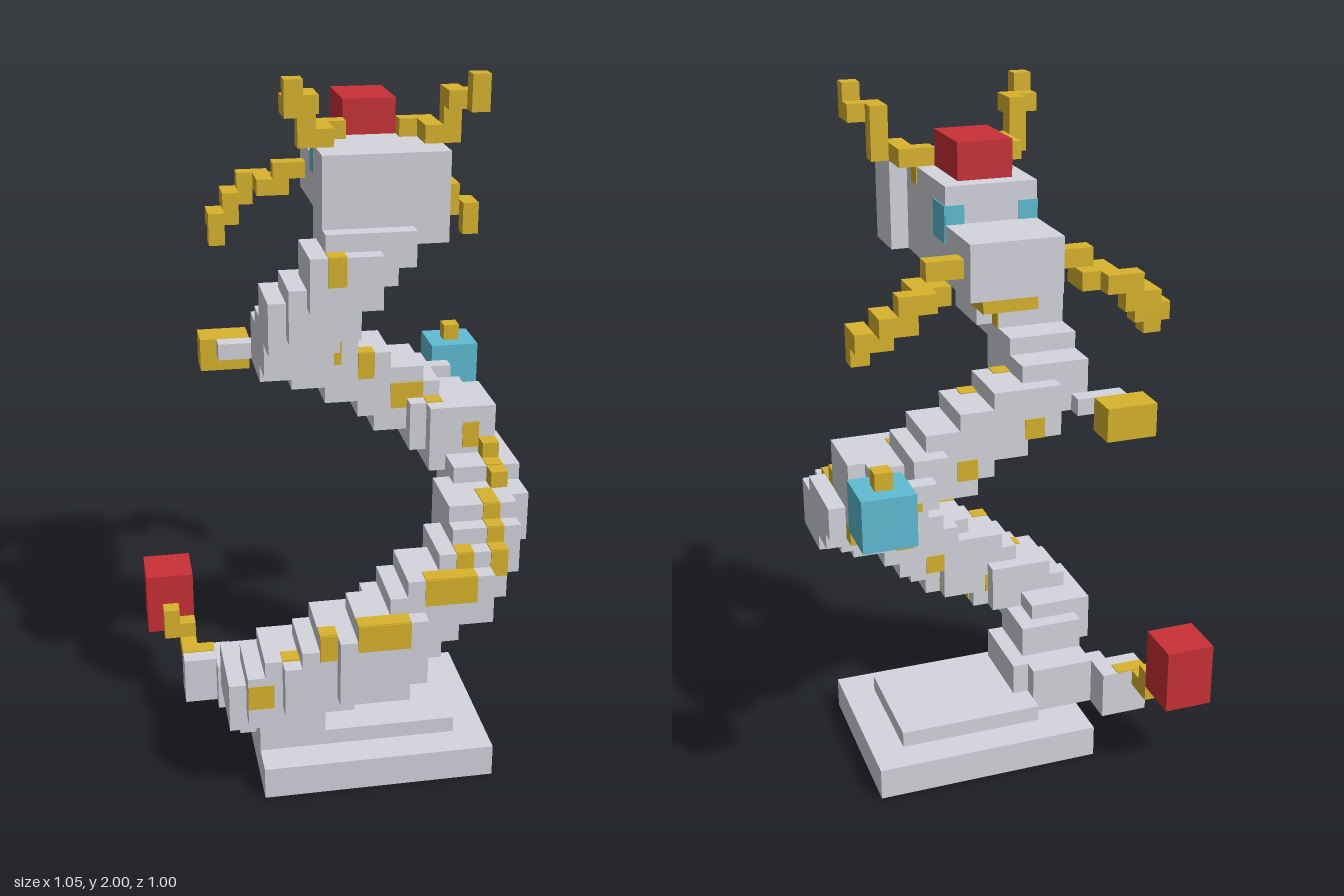
import * as THREE from 'three';

const U = 2 / 42; // one block

export function createModel() {
  const root = new THREE.Group();
  root.name = 'coiledDragonStatue';
  const material = (name, color) => {
    const m = new THREE.MeshStandardMaterial({ color });
    m.name = name;
    return m;
  };
  const grey = material('stoneGrey', 0xd5d6de);
  const gold = material('gold', 0xd9b42c);
  const red = material('red', 0xca3037);
  const blue = material('blue', 0x5fbdd5);

  // Box from block bounds; the z grid is shifted by half a block
  function box(name, mat, x0, x1, y0, y1, z0, z1) {
    const m = new THREE.Mesh(
      new THREE.BoxGeometry((x1 - x0) * U, (y1 - y0) * U, (z1 - z0) * U), mat);
    m.position.set((x0 + x1) / 2 * U, (y0 + y1) / 2 * U, ((z0 + z1) / 2 + 0.5) * U);
    m.name = name;
    root.add(m);
  }
  // Pair of boxes mirrored about the middle of the head (x = 2.5 blocks)
  function pair(name, mat, x0, x1, ...rest) {
    box(name + 'Left', mat, x0, x1, ...rest);
    box(name + 'Right', mat, 5 - x1, 5 - x0, ...rest);
  }

  // Stepped plinth
  box('plinthBase', grey, -5, 9, 0, 2, -4, 7);
  box('plinthStep', grey, -2, 7, 2, 3, -2, 5);

  // Coiling body: lowest corner and height of each overlapping segment
  const body = [
    [-7, 5, 2, 3], [-7, 5, 3, 3], [-6, 6, 4, 3], [-5, 7, 4, 3], [-4, 7, 5, 3],
    [-3, 8, 5, 3], [-2, 8, 5, 4], [-1, 8, 6, 4], [0, 9, 6, 4], [1, 10, 5, 3],
    [2, 11, 5, 3], [3, 12, 5, 3], [4, 12, 5, 3], [5, 13, 4, 3], [6, 14, 3, 3],
    [6, 15, 2, 3], [7, 15, 1, 3], [7, 16, -1, 3], [7, 17, -2, 2], [6, 18, -3, 3],
    [6, 19, -3, 3], [5, 19, -4, 3], [3, 20, -5, 3], [2, 21, -5, 3], [0, 22, -5, 3],
    [-2, 23, -5, 3], [-4, 24, -4, 3], [-4, 25, -2, 3], [-4, 27, 0, 3],
    [-3, 28, 1, 3], [-2, 30, 2, 3], [-1, 31, 1, 3],
  ];
  const t = 0.06; // thickness of painted plates
  body.forEach(([x, y, z], i) => {
    const [, , , h] = body[i];
    box('bodySegment', grey, x, x + 4, y, y + h, z, z + 4);
    // Scales on the inner faces of the coil
    if (i > 3 && i % 2 && i < 28) box('scaleBack', gold, x + 1, x + 2.2, y, y + 1.2, z - t, z);
    // Scales on the left side of the lower coil and the neck
    if (i > 3 && i < 10 && i % 2 === 0) box('scaleSide', gold, x + 4, x + 4 + t, y, y + 1, z + 1, z + 2);
    if (i === 28 || i === 29) box('scaleSide', gold, x + 4, x + 4 + t, y + 1, y + 2, z, z + 1);
  });
  // Scales over the front upper edges: segment, start and end across it
  const scales = [
    [3, 1, 2], [6, 0, 1], [8, 0, 3], [12, 0, 3], [13, 1, 2], [13, 3, 4], [14, 2, 3],
    [15, 2, 3], [16, 1, 2], [17, 2, 3], [19, 2, 3], [21, 1, 2], [22, 1, 3],
    [24, 2, 3], [25, 2, 3], [30, 1, 2],
  ];
  for (const [i, a, b] of scales) {
    const [x, y, z, h] = body[i];
    box('scaleFront', gold, x + a, x + b, y + h - 1.6, y + h, z + 4, z + 4 + t);
    box('scaleTop', gold, x + a, x + b, y + h, y + h + t, z + 3, z + 4);
  }
  // Raised scales on the left bend
  box('scaleFront', gold, -6, -4.5, 7, 8.5, 8, 8 + t);
  box('raisedScale', gold, 9, 10, 18, 19, 3, 4);
  box('raisedScale', gold, 9, 10, 19, 20, 1, 2);
  box('neckTop', grey, 0, 4, 32, 34, 2, 5);

  // Tail root and tail
  box('tailRoot', grey, -5, -1, 2, 5, 0, 5);
  box('tailRise', grey, -6, -2, 5, 7, 1, 5);
  box('tailJoint', grey, -6, -2, 2, 5, -1, 3);
  box('tailBend', grey, -7, -3, 2, 5, -1, 0);
  box('tailEnd', grey, -9, -6, 2, 5, -3, -1);
  box('tailScale', gold, -9, -7, 5, 5 + t, -3, -2);
  box('tailTuft', gold, -9, -8, 4, 5, -4, -3);
  box('tailTuft', gold, -9, -8, 4, 6, -5, -4);
  box('tailTuft', gold, -10, -8, 5, 6, -5, -4);
  box('tailTuft', gold, -10, -9, 5, 7, -5, -4);
  box('tailGem', red, -11, -8, 5, 9, -8, -5);

  // Right claw
  box('rightArm', grey, -6, -3, 24, 25, -5, -4);
  box('rightClaw', gold, -7, -4, 23, 25, -7, -5);

  // Left arm holding a block
  box('leftArm', grey, 5, 7, 21, 23, -6, -4);
  box('leftForearm', grey, 6, 9, 21, 22, -7, -6);
  box('heldBlock', blue, 8, 11, 20, 23, -10, -7);
  box('heldBlockKnob', gold, 9, 10, 23, 24, -9, -8);
  box('leftElbowScale', gold, 9, 10, 17, 18, -3, -2);

  // Head, snout and jaw
  box('headBack', grey, -1, 6, 33, 38, 1, 4);
  box('head', grey, 0, 5, 33, 38, -6, 1);
  box('snout', grey, 0, 5, 33, 36, -10, -6);
  box('jaw', gold, 1, 4, 32, 33, -9, -4);
  box('headGem', red, 1, 4, 38, 40, -5, -1);

  // Eyes wrap around the front corners of the head
  pair('eyeSide', blue, 5, 5 + t, 35, 37, -6, -4);
  pair('eyeFront', blue, 4, 5, 36, 37, -6 - t, -6);

  // Horns
  pair('hornSpot', gold, 5, 5 + t, 37, 38, -1, 0);
  pair('hornRoot', gold, 4, 6, 38, 39, -1, 0);
  pair('hornBase', gold, 5, 6, 38, 39, -1, 2);
  pair('hornMiddle', gold, 6, 7, 38, 41, 1, 2);
  pair('hornBend', gold, 6, 7, 40, 41, 1, 3);
  pair('hornEnd', gold, 7, 8, 40, 41, 2, 4);
  pair('hornTip', gold, 7, 8, 41, 42, 3, 4);

  // Whiskers
  pair('whiskerRoot', gold, 5, 7, 34, 35, -9, -8);
  pair('whiskerRise', gold, 6, 8, 33, 34, -10, -8);
  pair('whiskerSpan', gold, 7, 9, 33, 34, -11, -10);
  pair('whiskerDrop', gold, 8, 10, 32, 33, -11, -10);
  pair('whiskerBend', gold, 9, 11, 31, 32, -10, -9);
  pair('whiskerJoint', gold, 9, 10, 32, 33, -10, -9);
  pair('whiskerTip', gold, 10, 11, 30, 32, -9, -8);

  return root;
}
